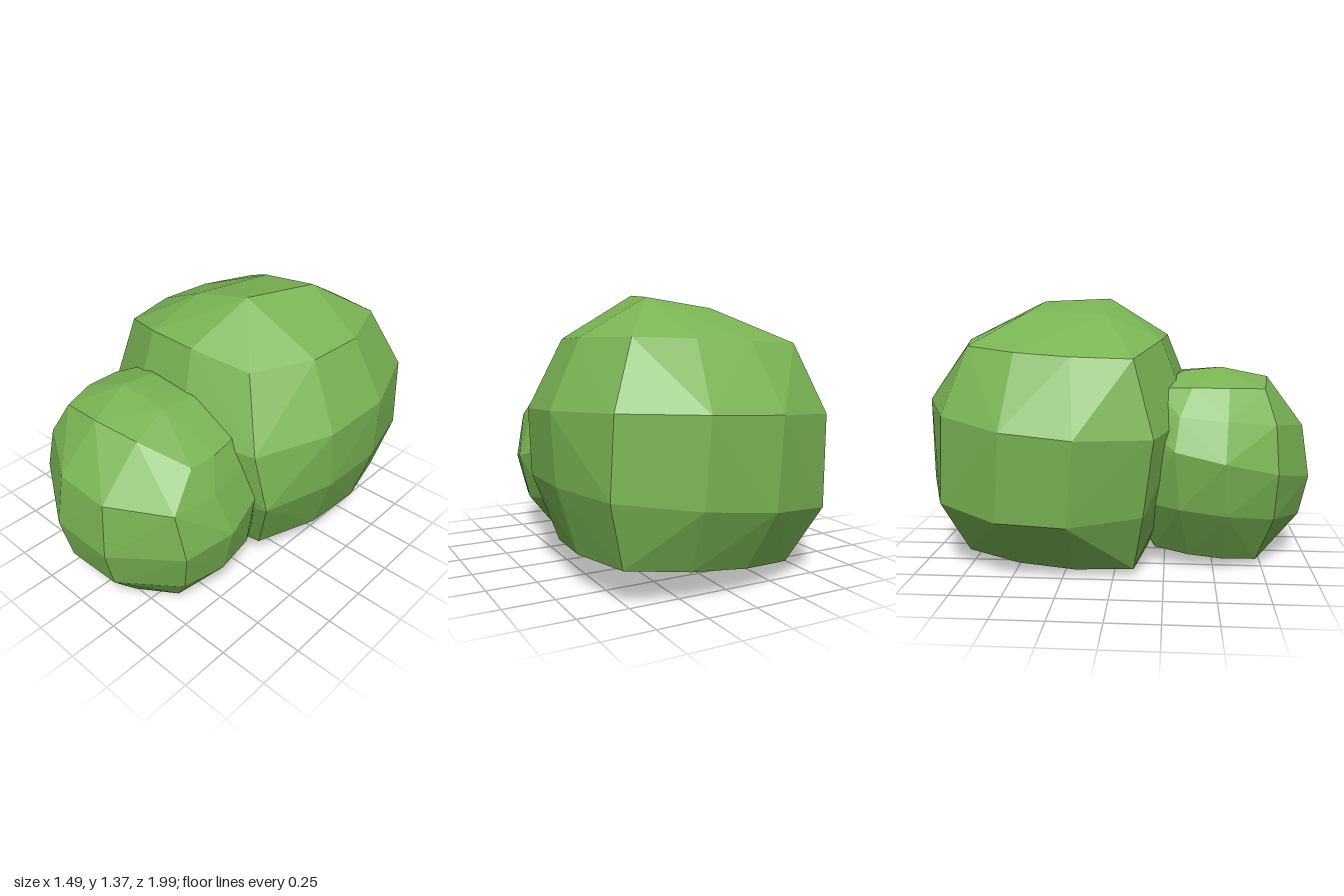
import * as THREE from 'three';

const material = new THREE.MeshStandardMaterial({ color: 0x79b453, flatShading: true });

// One twelve-point ring: four corners, two bulged points per side, heights on a tilted plane
// (the two middle points of the front side may be lifted above it)
function ring({ corners, bulge, plane: [h, tx, tz], frontLift = 0 }) {
  const points = [];
  corners.forEach(([x, z], s) => {
    const [x2, z2] = corners[(s + 1) % 4];
    const dx = x2 - x, dz = z2 - z, len = Math.hypot(dx, dz);
    for (let k = 0; k < 3; k++) {
      const b = k ? bulge[s] / len : 0;
      const lift = k && s === 0 ? frontLift : 0;
      const px = x + dx * k / 3 - dz * b;
      const pz = z + dz * k / 3 + dx * b;
      points.push(new THREE.Vector3(px, h + tx * px + tz * pz + lift, pz));
    }
  });
  return points;
}

// Two triangles, split along the diagonal that keeps the surface convex
function quad(out, a, b, c, d) {
  const normal = b.clone().sub(a).cross(c.clone().sub(a));
  const outside = normal.dot(d.clone().sub(a)) > 0;
  out.push(...(outside ? [a, b, d, b, c, d] : [a, b, c, a, c, d]));
}

// Faceted clump: stacked rings closed by a 3 x 3 grid of quads at each end
function clump(name, levels, bottom, top) {
  const rings = levels.map(ring);
  const points = [];

  for (let l = 0; l + 1 < rings.length; l++) {
    for (let i = 0; i < 12; i++) {
      const j = (i + 1) % 12;
      quad(points, rings[l][i], rings[l][j], rings[l + 1][j], rings[l + 1][i]);
    }
  }

  const cap = (r, coords, up) => {
    const inner = coords.map((p) => new THREE.Vector3(...p));
    const grid = [
      [r[0], r[1], r[2], r[3]],
      [r[11], inner[0], inner[1], r[4]],
      [r[10], inner[3], inner[2], r[5]],
      [r[9], r[8], r[7], r[6]],
    ];
    for (let i = 0; i < 3; i++) {
      for (let j = 0; j < 3; j++) {
        const q = [grid[i][j], grid[i][j + 1], grid[i + 1][j + 1], grid[i + 1][j]];
        quad(points, ...(up ? q : q.reverse()));
      }
    }
  };
  cap(rings[0], bottom, false);
  cap(rings[rings.length - 1], top, true);

  const geometry = new THREE.BufferGeometry().setFromPoints(points);
  geometry.computeVertexNormals();
  const mesh = new THREE.Mesh(geometry, material);
  mesh.name = name;
  return mesh;
}

export function createModel() {
  const group = new THREE.Group();
  group.name = 'bush';

  // Large clump at the back; corners run front left, front right, back right, back left (x, z)
  group.add(clump('largeFoliage', [
    { corners: [[-0.43, 0.10], [0.46, 0.16], [0.54, -0.77], [-0.34, -0.75]], bulge: [0.04, 0.105, 0.085, 0.08], plane: [0.085, 0.11, -0.05] },
    { corners: [[-0.55, 0.15], [0.59, 0.27], [0.62, -0.82], [-0.47, -0.86]], bulge: [0.10, 0.11, 0.15, 0.185], plane: [0.405, 0.125, -0.02] },
    { corners: [[-0.59, 0.20], [0.53, 0.30], [0.60, -0.82], [-0.50, -0.83]], bulge: [0.14, 0.16, 0.165, 0.19], plane: [0.77, 0.06, -0.08], frontLift: 0.05 },
    { corners: [[-0.52, 0.10], [0.38, 0.18], [0.46, -0.70], [-0.38, -0.72]], bulge: [0.10, 0.14, 0.065, 0.10], plane: [1.12, 0.05, -0.05], frontLift: 0.065 },
  ],
  [[-0.20, 0.03, -0.15], [0.20, 0.06, -0.13], [0.22, 0.07, -0.45], [-0.15, 0.04, -0.46]],
  [[-0.18, 1.29, -0.06], [0.15, 1.365, -0.06], [0.26, 1.35, -0.44], [-0.07, 1.30, -0.47]]));

  // Small clump in front
  group.add(clump('smallFoliage', [
    { corners: [[-0.25, 0.72], [0.36, 0.66], [0.30, 0.22], [-0.24, 0.20]], bulge: [0.10, 0.05, 0.05, 0.06], plane: [0.11, 0, -0.10] },
    { corners: [[-0.38, 0.79], [0.47, 0.72], [0.40, 0.12], [-0.35, 0.10]], bulge: [0.19, 0.08, 0.10, 0.115], plane: [0.345, -0.10, -0.12] },
    { corners: [[-0.44, 0.80], [0.52, 0.75], [0.36, 0.10], [-0.33, 0.08]], bulge: [0.215, 0.12, 0.10, 0.14], plane: [0.655, -0.11, -0.22] },
    { corners: [[-0.38, 0.79], [0.47, 0.77], [0.36, 0.12], [-0.32, 0.10]], bulge: [0.175, 0.07, 0.10, 0.10], plane: [0.785, -0.10, -0.08] },
    { corners: [[-0.29, 0.74], [0.42, 0.61], [0.35, 0.20], [-0.30, 0.20]], bulge: [0.08, 0.03, 0.06, 0.06], plane: [0.89, -0.13, 0], frontLift: 0.07 },
  ],
  [[-0.08, 0.02, 0.58], [0.14, 0, 0.62], [0.14, 0.04, 0.40], [-0.08, 0.04, 0.38]],
  [[-0.12, 1.02, 0.53], [0.15, 0.99, 0.52], [0.15, 0.98, 0.33], [-0.12, 1.00, 0.34]]));

  return group;
}
